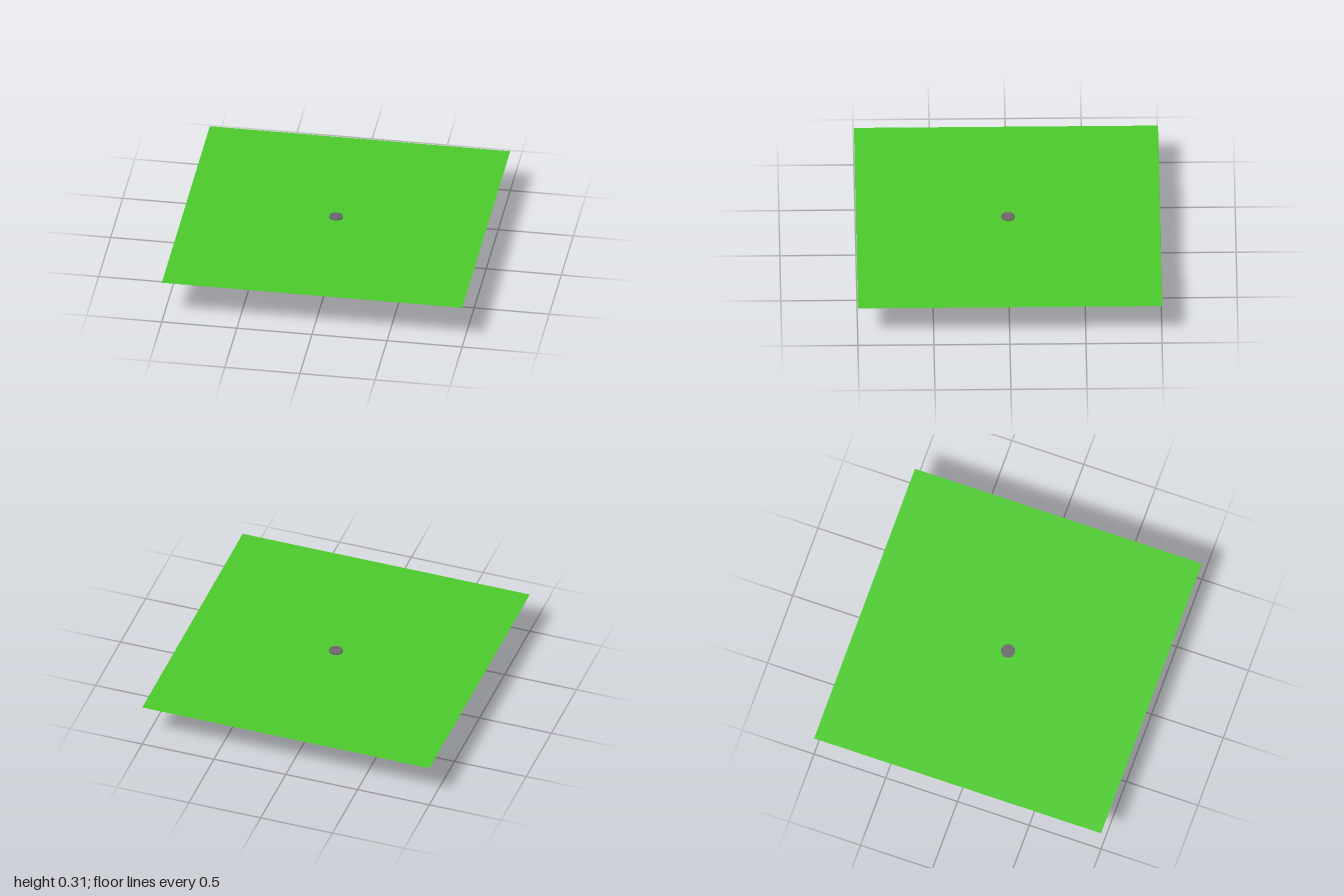
import * as THREE from 'three';

const SIDES = 10;

export function createModel() {
  const group = new THREE.Group();
  const green = new THREE.MeshStandardMaterial({ color: 0x4ccc2c, side: THREE.DoubleSide });
  const grey = new THREE.MeshStandardMaterial({ color: 0x696969, flatShading: true });

  const add = (name, geometry, material, y) => {
    const mesh = new THREE.Mesh(geometry, material);
    mesh.name = name;
    mesh.position.y = y;
    group.add(mesh);
  };

  // Upright disc-ended solid between two heights
  const addDrum = (name, radius, bottom, top) =>
    add(name, new THREE.CylinderGeometry(radius, radius, top - bottom, SIDES), grey, (bottom + top) / 2);

  // Thin square sheet, passing through the middle of the rim
  add('groundSheet', new THREE.PlaneGeometry(2, 2).rotateX(-Math.PI / 2), green, 0.302);

  // Post below the sheet and its wider rim
  addDrum('post', 0.038, 0, 0.295);
  addDrum('rim', 0.047, 0.295, 0.31);

  return group;
}
